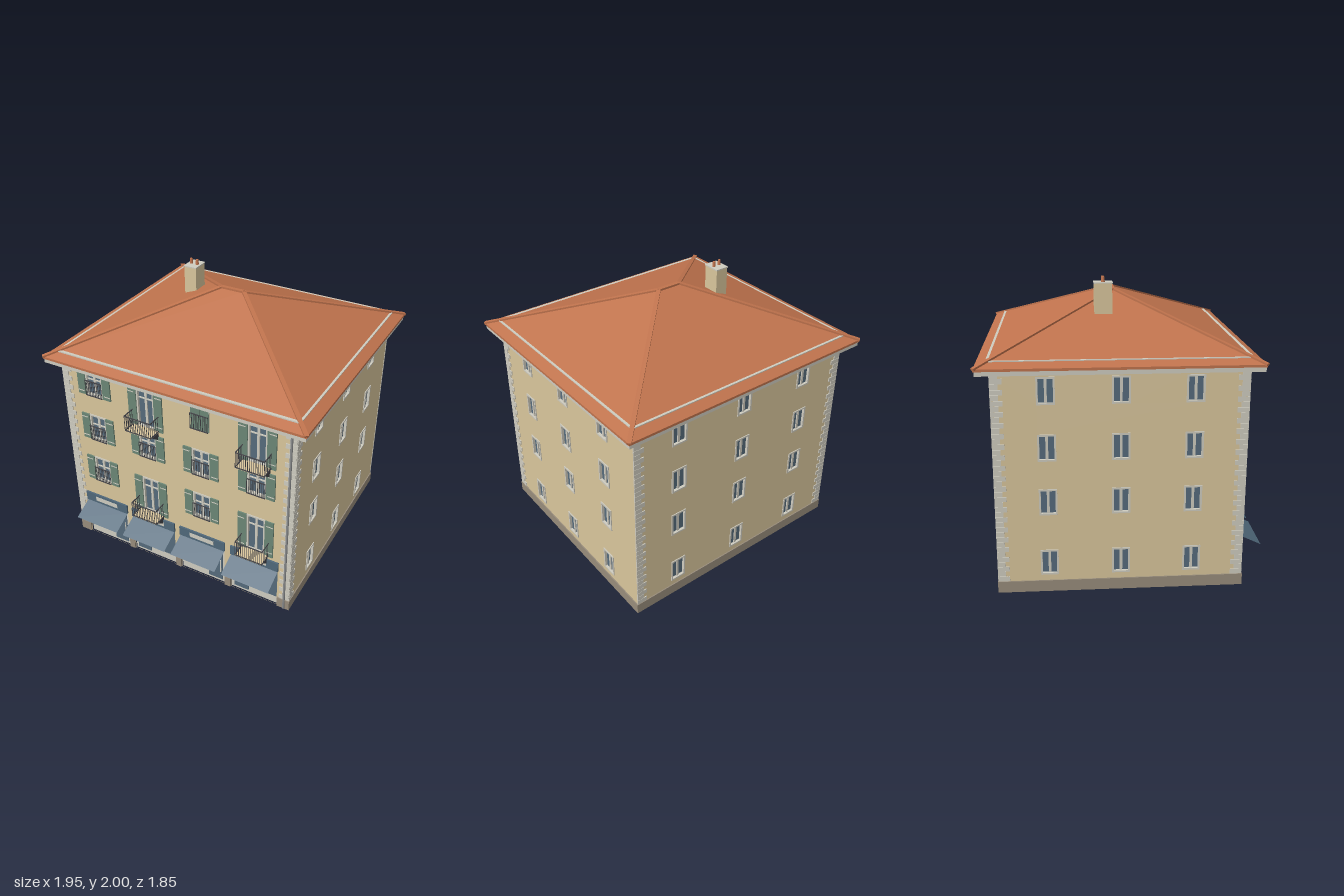
import * as THREE from 'three';

const mat = (name, color, side = THREE.FrontSide) => {
  const m = new THREE.MeshStandardMaterial({ color, side });
  m.name = name;
  return m;
};

export function createModel() {
  const M = {
    wall: mat('cream plaster', 0xd9c69c, THREE.DoubleSide),
    trim: mat('pale stone', 0xcfccc0),
    glass: mat('blue glass', 0x566b7c, THREE.DoubleSide),
    shutter: mat('green shutter', 0x6b8675),
    canvas: mat('blue canvas', 0x50687a, THREE.DoubleSide),
    plinth: mat('grey brown stone', 0x988c7b),
    iron: mat('dark iron', 0x45454a),
    roof: mat('terracotta', 0xc0734d, THREE.DoubleSide),
    pipe: mat('grey metal', 0x8b8d8e),
  };
  const model = new THREE.Group();
  model.name = 'townHouse';

  const HX = 0.873, ZF = 0.775, ZB = -0.828, ZC = (ZF + ZB) / 2, HZ = (ZF - ZB) / 2, TOP = 1.5;

  function group(parent, name, x = 0, y = 0, z = 0, ry = 0) {
    const g = new THREE.Group();
    g.name = name;
    g.position.set(x, y, z);
    g.rotation.y = ry;
    parent.add(g);
    return g;
  }
  function mesh(parent, name, geo, m, x = 0, y = 0, z = 0) {
    const o = new THREE.Mesh(geo, m);
    o.name = name;
    o.position.set(x, y, z);
    parent.add(o);
    return o;
  }
  const box = (p, name, m, w, h, d, x, y, z) => mesh(p, name, new THREE.BoxGeometry(w, h, d), m, x, y, z);

  // Wall sheet with rectangular openings [x, bottom, width, height]
  function wallSheet(p, half, openings) {
    const s = new THREE.Shape([[-half, 0], [half, 0], [half, TOP], [-half, TOP]].map(a => new THREE.Vector2(...a)));
    for (const [x, y, w, h] of openings) {
      const q = [[x - w / 2, y], [x - w / 2, y + h], [x + w / 2, y + h], [x + w / 2, y]];
      s.holes.push(new THREE.Path(q.map(a => new THREE.Vector2(...a))));
    }
    mesh(p, 'wall', new THREE.ShapeGeometry(s), M.wall);
  }

  // Two-leaf window set back in its opening, with a stone surround
  function windowUnit(p, x, y, w, h, transom = 0) {
    const g = group(p, 'window', x, y, 0);
    mesh(g, 'glass', new THREE.PlaneGeometry(w, h), M.glass, 0, h / 2, -0.012);
    for (const s of [-1, 1]) {
      box(g, 'jamb', M.trim, 0.012, h, 0.024, s * (w / 2 - 0.006), h / 2, -0.006);
      box(g, 'rail', M.trim, w, 0.012, 0.024, 0, h / 2 + s * (h / 2 - 0.006), -0.006);
    }
    box(g, 'mullion', M.trim, 0.017, h - 0.02, 0.008, 0, h / 2, -0.008);
    if (transom) box(g, 'transom', M.trim, w - 0.02, 0.008, 0.008, 0, h * transom, -0.008);
    return g;
  }

  function shutters(g, w, h) {
    for (const s of [-1, 1]) {
      const x = s * (w / 2 + 0.032);
      box(g, 'shutter', M.shutter, 0.063, h, 0.01, x, h / 2, 0.007);
      for (const f of [0.13, 0.87]) box(g, 'shutterHinge', M.trim, 0.05, 0.006, 0.003, x + s * 0.006, h * f, 0.013);
    }
  }

  // Flat railing panel in the xy plane, standing on y = 0
  function railing(p, w, h, bars, x = 0, y = 0, z = 0, ry = 0) {
    const g = group(p, 'railing', x, y, z, ry);
    for (const t of [0.003, h - 0.003]) box(g, 'handrail', M.iron, w, 0.006, 0.005, 0, t, 0);
    for (let i = 0; i <= bars; i++) box(g, 'bar', M.iron, 0.003, h, 0.003, -w / 2 + w * i / bars, h / 2, 0);
  }

  function balcony(p, x, y) {
    const g = group(p, 'balcony', x, y, 0);
    const d = 0.108, w = 0.2;
    box(g, 'balconyFloor', M.wall, w, 0.005, d, 0, 0, d / 2);
    railing(g, w, 0.118, 14, 0, 0.002, d);
    for (const s of [-1, 1]) {
      railing(g, d, 0.118, 5, s * w / 2, 0.002, d / 2, Math.PI / 2);
      const tri = new THREE.Shape([[0, 0], [0.075, 0], [0, -0.06]].map(a => new THREE.Vector2(...a)));
      const b = mesh(g, 'bracket', new THREE.ExtrudeGeometry(tri, { depth: 0.012, bevelEnabled: false }), M.iron, s * 0.083 - 0.006, -0.018, 0);
      b.rotation.y = -Math.PI / 2;
      b.position.x += 0.012;
    }
  }

  // Alternating corner stones at one end of a wall
  function quoins(p, half, s) {
    const n = 40, h = (TOP - 0.09) / n;
    for (let i = 0; i < n; i++) {
      const w = i % 2 ? 0.05 : 0.075;
      box(p, 'quoin', M.trim, w, h - 0.002, 0.008, s * (half + 0.003 - w / 2), 0.08 + h * (i + 0.5), 0.002);
    }
  }

  // Side and back walls
  const rows = [0.12, 0.545, 0.912, 1.283];
  function plainWall(name, half, cols, ends, x, z, ry) {
    const g = group(model, name, x, 0, z, ry);
    const w = 0.117, h = 0.178, holes = [];
    for (const c of cols) for (const y of rows) {
      holes.push([c, y, w, h]);
      windowUnit(g, c, y, w, h);
    }
    wallSheet(g, half, holes);
    box(g, 'plinth', M.plinth, 2 * half + 0.016, 0.078, 0.008, 0, 0.039, 0.004);
    ends.forEach(s => quoins(g, half, s));
  }
  plainWall('rightSideWall', HZ, [-0.465, 0, 0.467], [-1], HX, ZC, Math.PI / 2);
  plainWall('leftSideWall', HZ, [-0.467, 0, 0.465], [-1, 1], -HX, ZC, -Math.PI / 2);
  plainWall('backWall', HX, [-0.53, 0, 0.53], [-1, 1], 0, ZB, Math.PI);

  // Front wall: d = door with balcony, w = window, c = closed shutters
  const front = group(model, 'frontWall', 0, 0, ZF);
  const holes = [];
  const cols = [-0.614, -0.206, 0.206, 0.614];
  const plan = [['w', 'd', 'w', 'd'], ['w', 'w', 'w', 'w'], ['w', 'd', 'c', 'd']];
  const sill = [0.548, 0.912, 1.28], doorSill = [0.425, 0, 1.158];
  plan.forEach((row, r) => row.forEach((kind, c) => {
    const x = cols[c], door = kind === 'd';
    const w = 0.135, h = door ? 0.302 : 0.206, y = door ? doorSill[r] : sill[r];
    holes.push([x, y, w, h]);
    const g = windowUnit(front, x, y, w, h, door ? 0.74 : 0.6);
    if (kind === 'c') {
      for (const s of [-1, 1]) box(g, 'closedShutter', M.shutter, 0.066, h, 0.01, s * 0.034, h / 2, 0.004);
    } else shutters(g, w, h);
    if (door) balcony(front, x, y + 0.006);
    else railing(g, w - 0.004, 0.12, 10, 0, 0.002, 0.018);
  }));

  // Shops: door and display window swap sides from one to the next
  const shopX = [-0.612, -0.206, 0.2, 0.607], SW = 0.363;
  shopX.forEach((x, i) => {
    const g = group(front, 'shop', x, 0, 0), s = i % 2 ? -1 : 1;
    holes.push([x, 0.002, SW - 0.01, 0.31]);
    box(g, 'shopFrame', M.trim, SW - 0.01, 0.31, 0.006, 0, 0.157, -0.014);
    box(g, 'displayWindow', M.glass, 0.168, 0.235, 0.006, -s * 0.09, 0.184, -0.009);
    box(g, 'shopDoor', M.glass, 0.112, 0.275, 0.006, s * 0.1, 0.16, -0.009);
    box(g, 'doorHandle', M.trim, 0.006, 0.11, 0.006, s * 0.1 + 0.042, 0.15, -0.004);
    mesh(g, 'innerGlass', new THREE.PlaneGeometry(SW - 0.02, 0.24), M.glass, 0, 0.185, -0.018);
    box(g, 'signBoard', M.canvas, SW, 0.074, 0.014, 0, 0.357, 0.006);
    box(g, 'signPanel', M.trim, 0.19, 0.035, 0.004, 0, 0.357, 0.013);
    // Sloping awning
    const run = 0.146, drop = 0.07;
    const a = mesh(g, 'awning', new THREE.PlaneGeometry(SW - 0.008, Math.hypot(run, drop)), M.canvas, 0, 0.28, 0.004 + run / 2);
    a.rotation.x = -Math.atan2(run, drop);
  });
  wallSheet(front, HX, holes);
  const edges = [-0.881, ...shopX.flatMap(x => [x - SW / 2, x + SW / 2]), 0.881];
  for (let i = 0; i < edges.length; i += 2)
    box(front, 'plinth', M.plinth, edges[i + 1] - edges[i], 0.078, 0.01, (edges[i] + edges[i + 1]) / 2, 0.039, 0.005);
  quoins(front, HX, -1);
  quoins(front, HX, 1);
  mesh(front, 'drainPipe', new THREE.CylinderGeometry(0.008, 0.008, 1.48, 10), M.pipe, 0.842, 0.745, 0.012);

  // Hipped roof
  const RX = 0.962, RF = 0.858, RB = -0.918, RZ = -0.03, RR = 0.085, E = 1.535, P = 1.878;
  const A = [-RX, E, RF], B = [RX, E, RF], C = [RX, E, RB], D = [-RX, E, RB], L = [-RR, P, RZ], R = [RR, P, RZ];
  const geo = new THREE.BufferGeometry();
  const tris = [A, B, R, A, R, L, B, C, R, C, D, L, C, L, R, D, A, L];
  geo.setAttribute('position', new THREE.Float32BufferAttribute(tris.flat(), 3));
  geo.computeVertexNormals();
  mesh(model, 'roof', geo, M.roof);
  const depth = RF - RB, mid = (RF + RB) / 2;
  box(model, 'roofEdge', M.roof, 2 * RX, 0.016, depth, 0, E - 0.008, mid);
  box(model, 'cornice', M.trim, 2 * RX - 0.012, 0.029, depth - 0.012, 0, 1.5045, mid);

  // Ridge tiles along hips and top
  for (const [p, q] of [[A, L], [D, L], [B, R], [C, R], [L, R]]) {
    const a = new THREE.Vector3(...p), b = new THREE.Vector3(...q);
    const t = mesh(model, 'ridgeTiles', new THREE.BoxGeometry(0.028, 0.016, a.distanceTo(b)), M.roof);
    t.position.copy(a).add(b).multiplyScalar(0.5);
    t.lookAt(b);
  }

  // Pale guard bars near the eaves
  const GX = 0.882, GF = 0.782, GB = -0.838;
  for (const s of [-1, 1]) box(model, 'guardBar', M.trim, 0.022, 0.014, GF - GB, s * GX, 1.561, (GF + GB) / 2);
  for (const z of [GF, GB]) box(model, 'guardBar', M.trim, 2 * GX, 0.014, 0.022, 0, 1.561, z);

  // Chimney with two pots
  const ch = group(model, 'chimney', -0.348, 0, -0.11);
  box(ch, 'chimneyStack', M.wall, 0.092, 0.3, 0.118, 0, 1.806, 0);
  box(ch, 'chimneyCap', M.trim, 0.1, 0.008, 0.126, 0, 1.96, 0);
  for (const s of [-1, 1])
    mesh(ch, 'chimneyPot', new THREE.CylinderGeometry(0.009, 0.012, 0.038, 12), M.roof, s * 0.023, 1.981, 0);

  return model;
}
